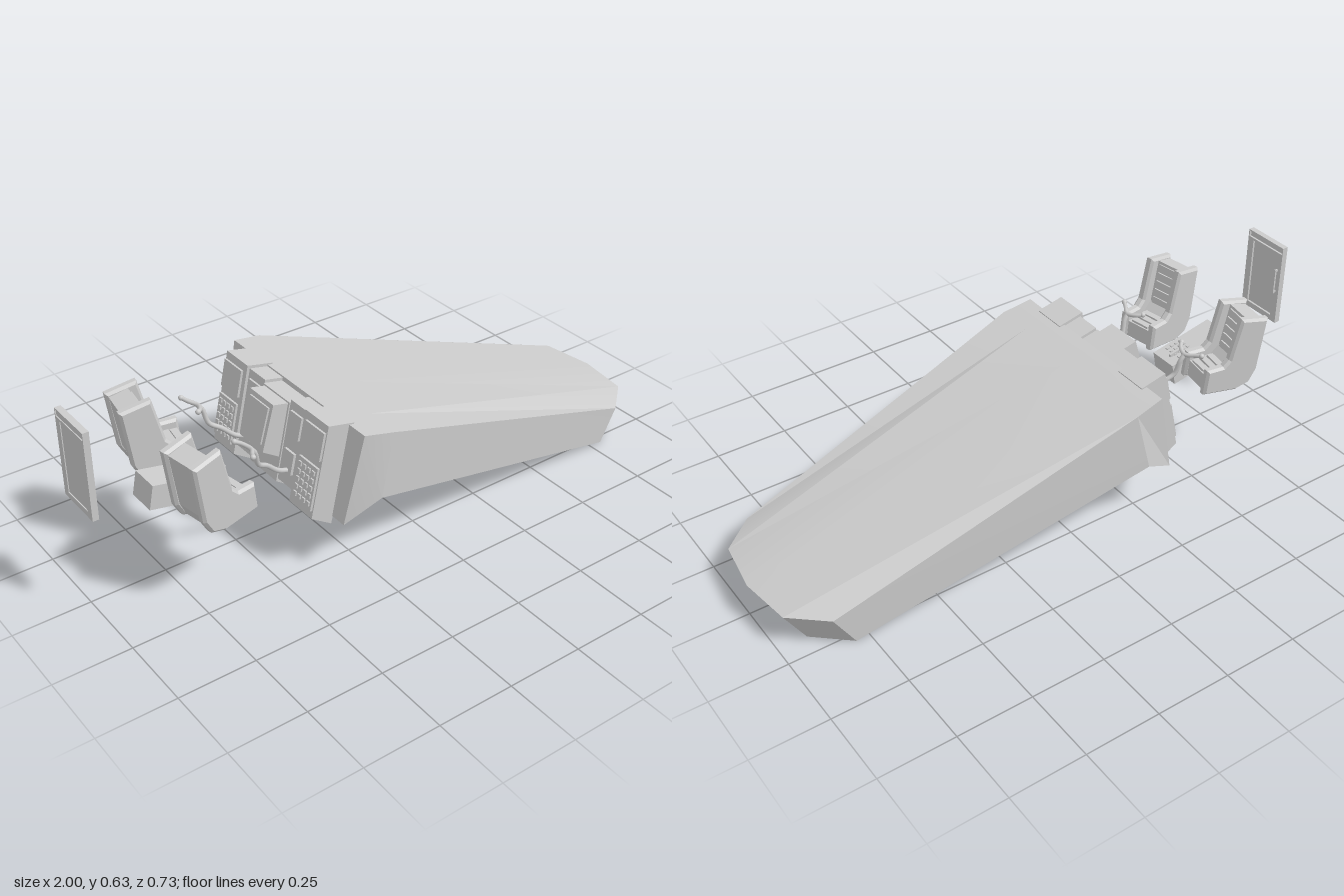
import * as THREE from 'three';
import { toCreasedNormals } from 'three/addons/utils/BufferGeometryUtils.js';

const grey = new THREE.MeshStandardMaterial({ color: 0xcccccc });
const V = (x, y, z) => new THREE.Vector3(x, y, z);

function add(parent, name, geometry, x = 0, y = 0, z = 0) {
  const mesh = new THREE.Mesh(geometry, grey);
  mesh.name = name;
  mesh.position.set(x, y, z);
  parent.add(mesh);
  return mesh;
}

function addGroup(parent, name, x = 0, y = 0, z = 0) {
  const group = new THREE.Group();
  group.name = name;
  group.position.set(x, y, z);
  parent.add(group);
  return group;
}

const box = (w, h, d) => new THREE.BoxGeometry(w, h, d);

// Side profile in x/y, drawn out from z0 to z1
function slab(points, z0, z1, bevel = 0) {
  const shape = new THREE.Shape(points.map(([x, y]) => new THREE.Vector2(x, y)));
  const geo = new THREE.ExtrudeGeometry(shape, {
    depth: z1 - z0 - 2 * bevel, bevelEnabled: bevel > 0, bevelSize: bevel,
    bevelThickness: bevel, bevelOffset: -bevel, bevelSegments: 1,
  });
  return geo.translate(0, 0, z0 + bevel);
}

// Nose hull: three rings, each a top row and a bottom row of points
function hullGeometry() {
  const rows = [-1, -0.65, 0, 0.65, 1];
  const tipCut = [0.135, 0.025, 0, 0.025, 0.135];
  const stations = [ // top x, y, half width; bottom x, y, half width
    [-0.26, 0.472, 0.347, -0.325, 0.175, 0.33],
    [-0.16, 0.452, 0.357, -0.21, 0.245, 0.365],
    [0.995, 0.11, 0.275, 0.93, 0, 0.28],
  ];
  const rings = stations.map(([tx, ty, tw, bx, by, bw], s) => {
    const cut = (i) => (s === 2 ? tipCut[i] : 0);
    const top = rows.map((t, i) => V(tx - cut(i), ty, t * tw));
    const bottom = rows.map((t, i) => V(bx - cut(i), by, t * bw)).reverse();
    return [...top, ...bottom];
  });
  const points = [];
  const quad = (a, b, c, d) => points.push(a, b, c, a, c, d);
  for (let s = 0; s < 2; s++) {
    for (let j = 0; j < 10; j++) {
      const k = (j + 1) % 10;
      quad(rings[s][j], rings[s][k], rings[s + 1][k], rings[s + 1][j]);
    }
  }
  for (let j = 0; j < 4; j++) {
    const [a, , b] = rings;
    quad(b[j], b[j + 1], b[8 - j], b[9 - j]);
    quad(a[9 - j], a[8 - j], a[j + 1], a[j]);
  }
  return toCreasedNormals(new THREE.BufferGeometry().setFromPoints(points), 0.3);
}

// Instrument panel, tilted to lie on the back of the hull
function addDashboard(parent) {
  const dash = addGroup(parent, 'dashboard', -0.29, 0.325, 0);
  dash.rotation.z = -0.22;
  const block = (depth, top, bottom) =>
    [[0, bottom - 0.03], [0.015, top], [-depth, top], [-depth, bottom]];
  for (const s of [-1, 1]) {
    const span = (a, b) => (s > 0 ? [a, b] : [-b, -a]);
    add(dash, 'outerConsole', slab(block(0.078, 0.155, -0.15), ...span(0.155, 0.272)));
    add(dash, 'innerConsole', slab(block(0.068, 0.145, -0.12), ...span(0.07, 0.155)));
    // Raised screens and rows of keys
    add(dash, 'outerScreen', box(0.012, 0.09, 0.095), -0.08, 0.085, s * 0.22);
    add(dash, 'keyPanel', box(0.012, 0.14, 0.095), -0.08, -0.055, s * 0.22);
    for (let r = 0; r < 5; r++) {
      for (let c = 0; c < 4; c++) {
        add(dash, 'key', box(0.008, 0.014, 0.014), -0.087, -0.005 - r * 0.025, s * (0.187 + c * 0.022));
      }
    }
    add(dash, 'innerScreen', box(0.012, 0.075, 0.06), -0.07, 0.08, s * 0.113);
    add(dash, 'columnPlate', box(0.014, 0.07, 0.05), -0.07, -0.04, s * 0.113);
  }
  add(dash, 'centreConsole', slab(block(0.072, 0.135, -0.13), -0.07, 0.07));
  add(dash, 'centreScreenHousing', slab(
    [[-0.07, -0.05], [-0.07, 0.13], [-0.125, 0.13], [-0.135, -0.025]], -0.063, 0.063));
  add(dash, 'centreScreen', box(0.008, 0.12, 0.1), -0.132, 0.055, 0).rotation.z = -0.06;
}

// Bucket seat: two wings with a padded cushion between them
function addSeat(parent, name, z, turn) {
  const seat = addGroup(parent, name, -0.675, 0, z);
  seat.rotation.y = turn;
  const wing = [[-0.115, 0.52], [-0.015, 0.54], [0.02, 0.395], [0.04, 0.375], [0.1, 0.375],
    [0.11, 0.285], [-0.015, 0.27], [-0.065, 0.285], [-0.09, 0.33]];
  const cushion = [[-0.105, 0.51], [-0.045, 0.525], [-0.015, 0.38], [0.015, 0.35], [0.095, 0.345],
    [0.1, 0.29], [-0.015, 0.278], [-0.06, 0.292], [-0.08, 0.335]];
  add(seat, 'leftWing', slab(wing, 0.045, 0.077, 0.008));
  add(seat, 'rightWing', slab(wing, -0.077, -0.045, 0.008));
  add(seat, 'cushion', slab(cushion, -0.046, 0.046));
  // Padding ribs up the back and along the seat
  for (let i = 0; i < 5; i++) {
    add(seat, 'backRib', box(0.014, 0.022, 0.07), -0.042 + i * 0.006, 0.505 - i * 0.029, 0).rotation.z = 0.2;
  }
  for (let i = 0; i < 3; i++) {
    add(seat, 'seatRib', box(0.022, 0.012, 0.07), 0.025 + i * 0.027, 0.351 - i * 0.002, 0);
  }
}

// Control column with a swept handlebar
function addControlColumn(parent, s) {
  const column = addGroup(parent, s > 0 ? 'leftControlColumn' : 'rightControlColumn');
  const tube = (pts, r) => new THREE.TubeGeometry(
    new THREE.CatmullRomCurve3(pts.map(([x, y, z]) => V(x, y, s * z))), 20, r, 8);
  add(column, 'arm', tube([[-0.52, 0.425, 0.148], [-0.505, 0.405, 0.146], [-0.49, 0.355, 0.138],
    [-0.455, 0.33, 0.127], [-0.41, 0.29, 0.12], [-0.36, 0.27, 0.115]], 0.008));
  add(column, 'handlebar', tube([[-0.545, 0.435, 0.2], [-0.535, 0.43, 0.18], [-0.518, 0.425, 0.148],
    [-0.53, 0.43, 0.115], [-0.545, 0.435, 0.1]], 0.007));
  for (const z of [0.2, 0.1]) {
    add(column, 'grip', new THREE.SphereGeometry(0.009, 10, 8), -0.545, 0.435, s * z);
  }
}

// Sloping console between the seats
function addCentreConsole(parent) {
  const console_ = addGroup(parent, 'seatConsole', -0.683, 0.291, 0);
  console_.rotation.z = -0.2;
  add(console_, 'body', box(0.238, 0.08, 0.1));
  for (let r = 0; r < 4; r++) {
    for (let c = 0; c < 4; c++) {
      add(console_, 'button', box(0.009, 0.006, 0.009), 0.02 + r * 0.018, 0.042, -0.03 + c * 0.02);
    }
  }
  add(console_, 'lever', box(0.04, 0.012, 0.008), 0.075, 0.045, -0.008);
}

// Rear door: frame with a recessed panel and a window strip above it
function addDoor(parent) {
  const door = addGroup(parent, 'door', -0.99, 0.485, 0);
  const rect = (P, x0, y0, x1, y1) => {
    const p = new P();
    p.moveTo(x0, y0).lineTo(x1, y0).lineTo(x1, y1).lineTo(x0, y1).closePath();
    return p;
  };
  const frame = rect(THREE.Shape, -0.083, -0.145, 0.083, 0.145);
  frame.holes.push(rect(THREE.Path, -0.058, -0.125, 0.058, 0.112));
  frame.holes.push(rect(THREE.Path, -0.079, 0.12, 0.079, 0.14));
  const geo = new THREE.ExtrudeGeometry(frame, { depth: 0.02, bevelEnabled: false });
  add(door, 'frame', geo.translate(0, 0, -0.01).rotateY(Math.PI / 2));
  add(door, 'panel', box(0.01, 0.24, 0.12), -0.002, -0.006, 0);
  add(door, 'windowStrip', box(0.01, 0.022, 0.16), -0.002, 0.13, 0);
  add(door, 'handle', box(0.006, 0.09, 0.006), 0.018, 0.015, -0.067);
  for (const y of [-0.025, 0.055]) add(door, 'handleMount', box(0.012, 0.008, 0.006), 0.012, y, -0.067);
}

export function createModel() {
  const model = new THREE.Group();
  model.name = 'cockpit';
  add(model, 'noseHull', hullGeometry());
  addDashboard(model);
  addSeat(model, 'leftSeat', 0.178, 0.16);
  addSeat(model, 'rightSeat', -0.158, -0.16);
  for (const s of [-1, 1]) addControlColumn(model, s);
  addCentreConsole(model);
  addDoor(model);
  return model;
}
